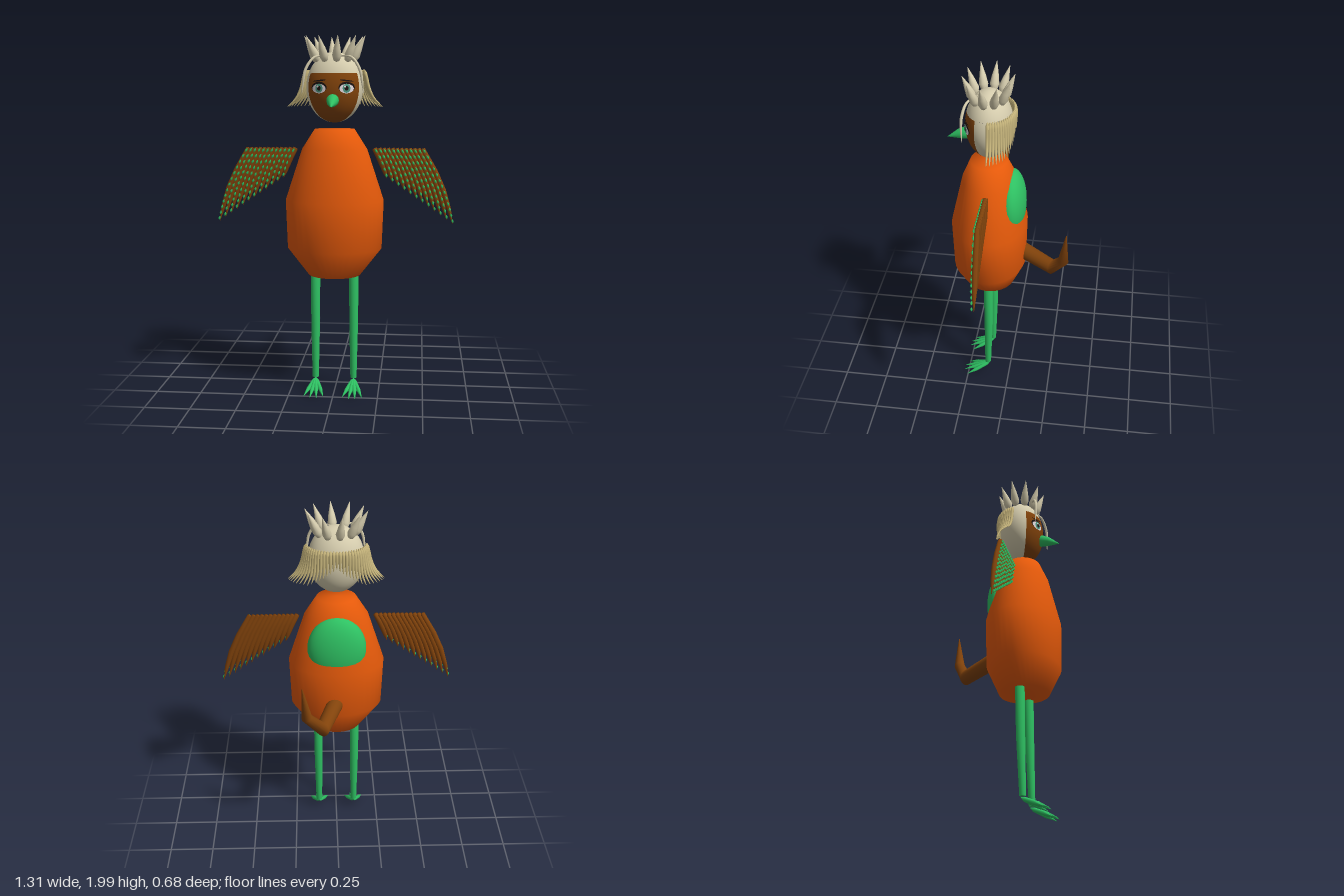
import * as THREE from 'three';
import { mergeGeometries, toCreasedNormals } from 'three/addons/utils/BufferGeometryUtils.js';

const mat = (name, color, side = THREE.FrontSide) =>
  Object.assign(new THREE.MeshStandardMaterial({ color, side }), { name });
const V = (x, y, z) => new THREE.Vector3(x, y, z);

// Tapered round limb through the given points, one radius per point
function limb(pts, radii, seg = 10) {
  const pos = [], idx = [];
  pts.forEach((p, i) => {
    const t = pts[Math.min(i + 1, pts.length - 1)].clone().sub(pts[Math.max(i - 1, 0)]).normalize();
    const n = V(1, 0, 0).cross(t).normalize();
    const b = t.clone().cross(n);
    for (let j = 0; j < seg; j++) {
      const a = (j / seg) * Math.PI * 2;
      const q = p.clone().addScaledVector(n, Math.cos(a) * radii[i]).addScaledVector(b, Math.sin(a) * radii[i]);
      pos.push(q.x, q.y, q.z);
      if (i < pts.length - 1) {
        const k = i * seg + j, l = i * seg + ((j + 1) % seg);
        idx.push(k, l, k + seg, l, l + seg, k + seg);
      }
    }
  });
  const g = new THREE.BufferGeometry();
  g.setAttribute('position', new THREE.Float32BufferAttribute(pos, 3));
  g.setIndex(idx);
  g.computeVertexNormals();
  return g;
}

export function createModel() {
  const orange = mat('orange', 0xe4590a), green = mat('green', 0x2ec062);
  const brown = mat('brown', 0x82430b), cream = mat('cream', 0xd6cdae);
  const straw = mat('straw', 0xcab87e), white = mat('eye white', 0xf0e6ea, THREE.DoubleSide);
  const dark = mat('dark', 0x1c1210, THREE.DoubleSide), iris = mat('iris', 0x4f9a84, THREE.DoubleSide);

  const model = new THREE.Group();
  const add = (name, geo, material, parent = model) => {
    const m = new THREE.Mesh(geo, material);
    m.name = name;
    parent.add(m);
    return m;
  };
  const group = (name) => {
    const g = new THREE.Group();
    g.name = name;
    model.add(g);
    return g;
  };

  // Body: oval rings [half width, height, half depth]
  const rings = [[0, 0.68, 0], [0.145, 0.68, 0.14], [0.262, 0.83, 0.205], [0.272, 1.1, 0.212],
    [0.18, 1.38, 0.147], [0.11, 1.49, 0.1], [0, 1.49, 0]];
  const bodyGeo = new THREE.LatheGeometry(rings.map(([r, y]) => new THREE.Vector2(r, y)), 40);
  const bp = bodyGeo.attributes.position;
  for (let i = 0; i < bp.count; i++) {
    const [rx, , rz] = rings[i % rings.length];
    bp.setZ(i, 0.12 + (rx ? (bp.getZ(i) / rx) * rz : 0));
  }
  add('body', toCreasedNormals(bodyGeo, 1.3), orange);

  // Green hump on the back
  const hump = add('backPatch', new THREE.SphereGeometry(1, 36, 24), green);
  hump.scale.set(0.165, 0.2, 0.085);
  hump.position.set(0, 1.22, 0);

  // Tail, bent upward
  add('tail', limb([V(0, 0.91, -0.04), V(0.085, 0.852, -0.247), V(0.17, 0.97, -0.312), V(0.192, 1.16, -0.325)],
    [0.047, 0.042, 0.03, 0.002], 16), brown);

  // Legs and feet
  for (const s of [-1, 1]) {
    const leg = group(s > 0 ? 'leftLeg' : 'rightLeg');
    const x = s * 0.108;
    add('shin', limb([V(x, 0.72, 0.12), V(x, 0.7, 0.12), V(x, 0.4, 0.122), V(x, 0.08, 0.13), V(x, 0.079, 0.13)],
      [0, 0.027, 0.025, 0.018, 0], 14), green, leg);
    for (const dx of [-0.055, -0.018, 0.018, 0.055]) {
      const end = V(x + dx, 0.004, 0.285 - Math.abs(dx) * 0.6);
      const root = V(x, 0.07, 0.12);
      add('toe', limb([root, root.clone().lerp(end, 0.15), root.clone().lerp(end, 0.6), end],
        [0.002, 0.011, 0.012, 0.001], 8), green, leg);
    }
  }

  // Wings: slanting feathers, green flecks on the front
  for (const s of [-1, 1]) {
    const wing = group(s > 0 ? 'leftWing' : 'rightWing');
    const feathers = [], flecks = [];
    for (let i = 0; i < 12; i++) {
      const u = i / 11, k = 0.4 + 0.6 * u;
      const root = V(s * (0.217 + 0.262 * u), 1.385, 0.108);
      const at = (t, z = 0) => root.clone().add(
        V(s * (0.172 * t * k + 0.022 * k * Math.sin(Math.PI * t)), -0.415 * t * k, z));
      feathers.push(limb([at(0), at(0.01), at(0.3), at(0.55), at(0.8), at(1)],
        [0, 0.014, 0.017, 0.017, 0.012, 0.001], 8));
      const n = Math.round(k * 13);
      for (let j = 0; j < n; j++) {
        const a = (j + 0.1) / n, b = (j + 0.8) / n;
        const z = 0.016 - 0.012 * Math.max(0, a - 0.6);
        flecks.push(limb([at(a, z), at((a + b) / 2, z), at(b, z)].map((p) => p.add(V(s * 0.004, 0, 0))),
          [0.001, 0.0075, 0.001], 6));
      }
    }
    add('feathers', mergeGeometries(feathers), brown, wing);
    add('featherFlecks', mergeGeometries(flecks), green, wing);
  }

  // Head: cream oval with a brown front wedge for the face
  const C = V(0, 1.715, 0.115), R = V(0.155, 0.19, 0.126);
  const brow = 1.16, half = 1.08;
  const shell = (name, material, p0, pl, t0, tl) => {
    const m = add(name, new THREE.SphereGeometry(1, 36, 20, p0, pl, t0, tl), material);
    m.scale.copy(R);
    m.position.copy(C);
  };
  shell('headTop', cream, 0, Math.PI * 2, 0, brow);
  shell('headBack', cream, Math.PI / 2 + half, Math.PI * 2 - 2 * half, brow, Math.PI - brow);
  shell('face', brown, Math.PI / 2 - half, 2 * half, brow, Math.PI - brow);

  // Beak
  add('beak', limb([V(0, 1.65, 0.2), V(0, 1.648, 0.235), V(0, 1.638, 0.275), V(0, 1.615, 0.34)],
    [0.02, 0.034, 0.027, 0.001], 16), green);

  // Eyes: thin discs laid on the curve of the face
  const disc = (name, material, x, y, w, h, lift, parent, tilt = 0) => {
    const g = new THREE.RingGeometry(0.001, 1, 24, 4);
    const p = g.attributes.position;
    for (let i = 0; i < p.count; i++) {
      const px = x + p.getX(i) * w, py = y + p.getY(i) * h + p.getX(i) * tilt;
      const q = 1 - (px / R.x) ** 2 - ((py - C.y) / R.y) ** 2;
      p.setXYZ(i, px, py, C.z + R.z * Math.sqrt(Math.max(q, 0)) + lift);
    }
    g.computeVertexNormals();
    add(name, g, material, parent);
  };
  for (const s of [-1, 1]) {
    const eye = group(s > 0 ? 'leftEye' : 'rightEye');
    const x = s * 0.074, y = 1.712;
    disc('eyelid', dark, x, y + 0.004, 0.042, 0.03, 0.002, eye);
    disc('eyeWhite', white, x, y - 0.002, 0.037, 0.025, 0.0035, eye);
    disc('iris', iris, x, y, 0.02, 0.024, 0.005, eye);
    disc('pupil', dark, x, y, 0.01, 0.013, 0.0065, eye);
    disc('eyeGlint', white, x - 0.007, y + 0.009, 0.005, 0.005, 0.008, eye);
    disc('eyebrow', dark, x, 1.752, 0.036, 0.004, 0.002, eye, -s * 0.004);
  }

  // Crown of spikes
  const crown = group('crown');
  for (let i = 0; i < 10; i++) {
    const a = (i / 10) * Math.PI * 2 + 0.17;
    const at = (r, y) => V(Math.sin(a) * 0.11 * r, y, C.z + Math.cos(a) * 0.088 * r);
    add('spike', limb([at(0.85, 1.85), at(0.93, 1.86), at(1.04, 1.885), at(1.22, 1.925), at(1.53, 1.99)],
      [0.002, 0.017, 0.025, 0.018, 0.001], 12), cream, crown);
  }

  // Two long curved strands framing the face
  for (const s of [-1, 1]) {
    const c = new THREE.CatmullRomCurve3([V(s * 0.03, 1.885, 0.17), V(s * 0.1, 1.875, 0.215),
      V(s * 0.145, 1.81, 0.235), V(s * 0.158, 1.74, 0.236), V(s * 0.165, 1.685, 0.233)]);
    const pts = c.getPoints(16);
    add('frontStrand', limb(pts, pts.map((_, i) => 0.001 + 0.007 * Math.sin(Math.PI * (0.1 + 0.88 * i / 16))), 8), cream);
  }

  // Hair: strands around the back, longer and flaring at the sides
  const strands = [];
  for (let i = 0; i < 31; i++) {
    const a = -1.5 + (3 * i) / 30, f = Math.sin(a) ** 2;
    const sx = Math.sin(a), cz = Math.cos(a);
    const at = (r, y) => V(sx * (0.155 + r), y, 0.107 - cz * (0.122 + r * 0.5));
    const len = 0.1 + 0.1 * Math.min(1, 1.4 * Math.abs(sx));
    const pts = new THREE.CatmullRomCurve3([at(0.006, 1.81), at(0.018, 1.805 - len * 0.2),
      at(0.018 + 0.014 * f, 1.81 - len * 0.5), at(0.016 + 0.045 * f, 1.81 - len * 0.78),
      at(0.018 + 0.09 * f, 1.81 - len)]).getPoints(10);
    strands.push(limb(pts, pts.map((_, j) => (j === 0 ? 0.002 : 0.01 * (1 - (j / 10.5) ** 3))), 7));
  }
  add('hair', mergeGeometries(strands), straw);

  return model;
}
